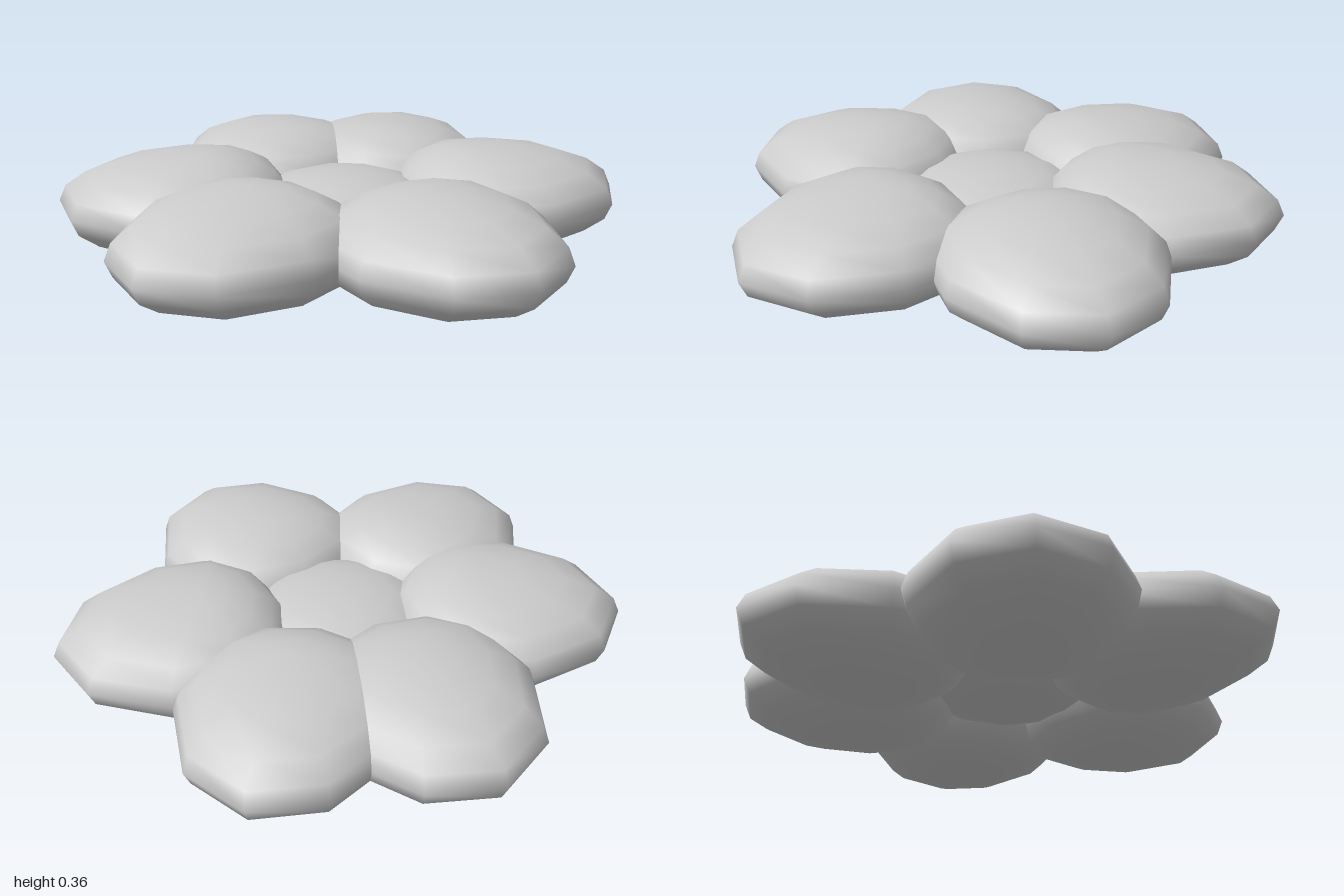
import * as THREE from 'three';

const MID_HEIGHT = 0.182;

// Flattened ten-sided ball; the inner (-x) half can be shorter than the outer half
function pebble(name, outer, inner, halfHeight, halfWidth, material) {
  const geometry = new THREE.SphereGeometry(1, 10, 10);
  const p = geometry.attributes.position;
  for (let i = 0; i < p.count; i++) {
    const x = p.getX(i);
    p.setXYZ(i, x * (x > 0 ? outer : inner), p.getY(i) * halfHeight, p.getZ(i) * halfWidth);
  }
  // Smooth normals, stretched to match each half
  const n = geometry.attributes.normal;
  const normal = new THREE.Vector3();
  for (let i = 0; i < n.count; i++) {
    normal.fromBufferAttribute(n, i);
    normal.x /= normal.x > 0 ? outer : inner;
    normal.y /= halfHeight;
    normal.z /= halfWidth;
    normal.normalize();
    n.setXYZ(i, normal.x, normal.y, normal.z);
  }
  const mesh = new THREE.Mesh(geometry, material);
  mesh.name = name;
  return mesh;
}

export function createModel() {
  const group = new THREE.Group();
  group.name = 'flower';
  const material = new THREE.MeshStandardMaterial({ color: 0xcccccc });

  // Blossom, slightly off the middle of the overall outline
  const blossom = new THREE.Group();
  blossom.name = 'blossom';
  blossom.position.set(0.014, MID_HEIGHT, 0.05);

  // Low domed heart sunk between the petals
  blossom.add(pebble('flowerCentre', 0.33, 0.33, 0.11, 0.33, material));

  // Petals: angle from +x towards +z, and distance of the tip
  const petals = [[-13.5, 1.012], [55.5, 0.998], [125.8, 1.004], [180, 1.014], [241.3, 1.016], [286.5, 1.014]];
  petals.forEach(([degrees, reach], i) => {
    const angle = THREE.MathUtils.degToRad(degrees);
    const radius = reach - 0.522;
    const petal = pebble(`petal${i + 1}`, 0.522, 0.31, MID_HEIGHT, 0.393, material);
    petal.position.set(radius * Math.cos(angle), 0, radius * Math.sin(angle));
    petal.rotation.y = -angle;
    blossom.add(petal);
  });

  group.add(blossom);
  return group;
}
